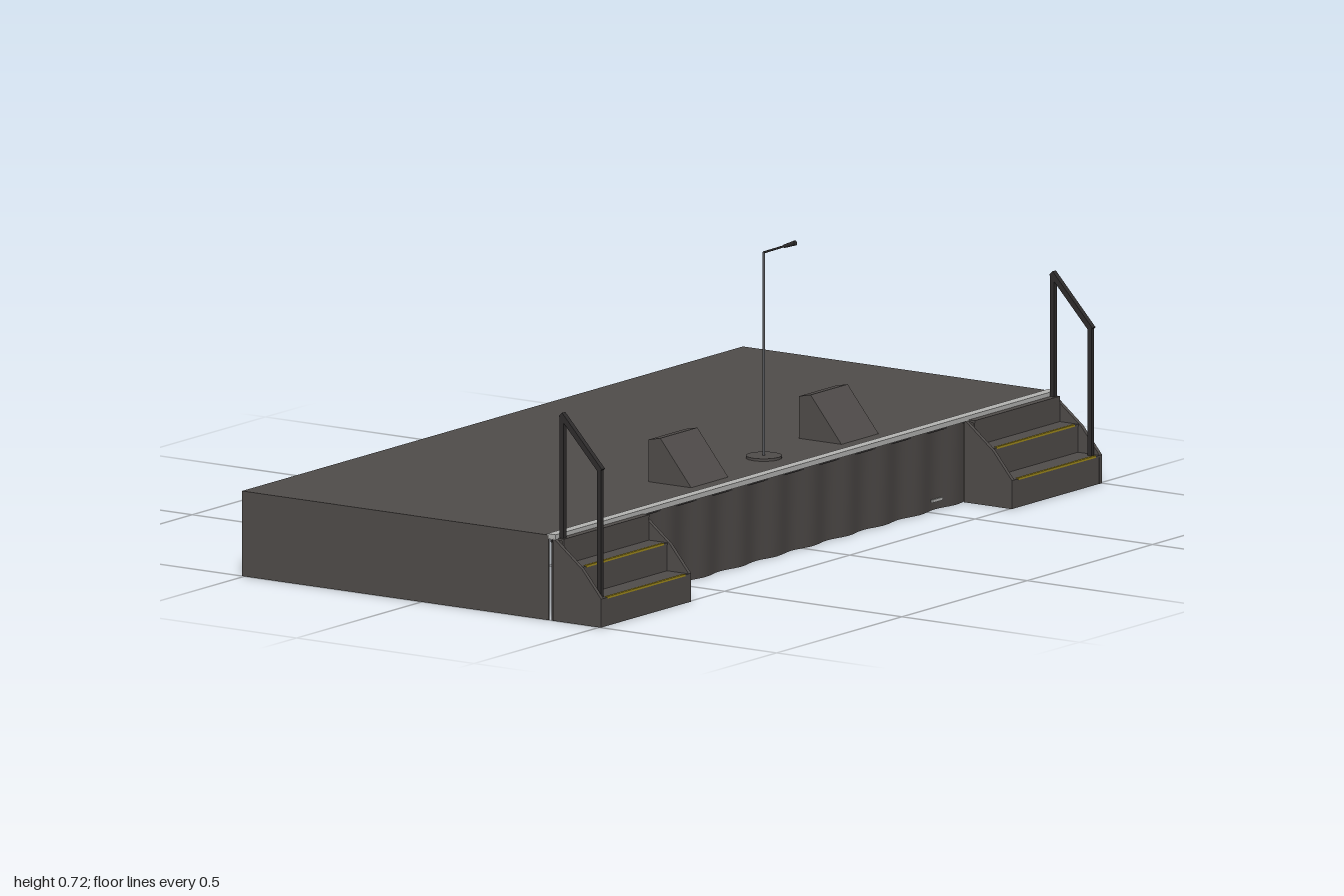
import * as THREE from 'three';

const mat = (name, color, side = THREE.FrontSide) => {
  const m = new THREE.MeshStandardMaterial({ color, side });
  m.name = name;
  return m;
};

export function createModel() {
  const charcoal = mat('charcoal', 0x504c4a);
  const cloth = mat('curtain cloth', 0x4c4846, THREE.DoubleSide);
  const blackMetal = mat('black metal', 0x2e2c2c);
  const steel = mat('steel', 0x55565a);
  const aluminium = mat('aluminium', 0xb4b4b2);
  const yellow = mat('safety yellow', 0xa08a1c);

  const model = new THREE.Group();
  model.name = 'stage';

  const add = (parent, name, geometry, material) => {
    const mesh = new THREE.Mesh(geometry, material);
    mesh.name = name;
    parent.add(mesh);
    return mesh;
  };
  // Box given by its lower and upper limits on each axis
  const box = (parent, name, [x0, x1], [y0, y1], [z0, z1], material) => {
    const mesh = add(parent, name, new THREE.BoxGeometry(x1 - x0, y1 - y0, z1 - z0), material);
    mesh.position.set((x0 + x1) / 2, (y0 + y1) / 2, (z0 + z1) / 2);
    return mesh;
  };
  // Side profile of [z, y] points, extruded along x from x0 to x1
  const profile = (parent, name, points, x0, x1, material) => {
    const shape = new THREE.Shape(points.map(([z, y]) => new THREE.Vector2(-z, y)));
    const g = new THREE.ExtrudeGeometry(shape, { depth: x1 - x0, bevelEnabled: false });
    g.rotateY(Math.PI / 2);
    g.translate(x0, 0, 0);
    return add(parent, name, g, material);
  };
  // Bar between two [y, z] points in the plane at x
  const bar = (parent, name, x, [y0, z0], [y1, z1], w, material) => {
    const g = new THREE.BoxGeometry(w, Math.hypot(y1 - y0, z1 - z0), w);
    const mesh = add(parent, name, g, material);
    mesh.position.set(x, (y0 + y1) / 2, (z0 + z1) / 2);
    mesh.rotation.x = Math.atan2(z1 - z0, y1 - y0);
    return mesh;
  };

  // Platform: deck and three thin walls, open below and in front
  const platform = new THREE.Group();
  platform.name = 'platform';
  model.add(platform);
  box(platform, 'deck', [-1, 1], [0.196, 0.2], [-0.507, 0.357], charcoal);
  box(platform, 'backWall', [-1, 1], [0, 0.197], [-0.507, -0.503], charcoal);
  for (const s of [-1, 1]) {
    box(platform, 'sideWall', s < 0 ? [-1, -0.996] : [0.996, 1], [0, 0.197], [-0.507, 0.357], charcoal);
  }
  box(platform, 'edgeTrim', [-1, 1], [0.191, 0.203], [0.353, 0.377], aluminium);
  box(platform, 'curtainRail', [-1, 1], [0.184, 0.192], [0.363, 0.367], blackMetal);

  // Pleated curtain across the front
  const pleats = new THREE.PlaneGeometry(2, 0.192, 112, 1);
  const p = pleats.attributes.position;
  for (let i = 0; i < p.count; i++) {
    p.setZ(i, 0.005 * Math.sin(p.getX(i) * Math.PI * 14));
  }
  pleats.translate(0, 0.096, 0.366);
  pleats.computeVertexNormals();
  add(model, 'curtain', pleats, cloth);
  box(model, 'curtainTag', [0.51, 0.55], [0.021, 0.028], [0.369, 0.374], aluminium);

  // Stairs and handrails at both ends
  for (const s of [-1, 1]) {
    const stairs = new THREE.Group();
    stairs.name = s < 0 ? 'rightStairs' : 'leftStairs';
    model.add(stairs);
    const span = s < 0 ? [-0.99, -0.65] : [0.65, 0.99];

    const side = [[0.37, 0], [0.505, 0], [0.505, 0.067], [0.452, 0.13], [0.372, 0.193], [0.37, 0.193]];
    for (const x of [0.64, 0.99]) {
      const x0 = s < 0 ? -x - 0.01 : x;
      profile(stairs, 'stairSide', side, x0, x0 + 0.01, charcoal);
    }

    // Treads from the bottom up: [height, back edge, front edge]
    const treads = [[0.067, 0.44, 0.505], [0.133, 0.39, 0.445], [0.193, 0.37, 0.394]];
    treads.forEach(([y, back, front], i) => {
      box(stairs, 'tread', span, [y - 0.005, y], [back, front], charcoal);
      box(stairs, 'riser', span, [i ? treads[i - 1][0] : 0, y - 0.004], [front - 0.006, front - 0.001], charcoal);
      if (i < 2) {
        const strip = s < 0 ? [-0.975, -0.665] : [0.665, 0.975];
        box(stairs, 'nosingStrip', strip, [y - 0.003, y + 0.002], [front - 0.006, front + 0.001], yellow);
      }
    });

    const rail = new THREE.Group();
    rail.name = 'handrail';
    stairs.add(rail);
    const x = 0.979 * s;
    bar(rail, 'lowerPost', x, [0.067, 0.488], [0.37, 0.488], 0.011, blackMetal);
    bar(rail, 'upperPost', x, [0.19, 0.383], [0.48, 0.383], 0.011, blackMetal);
    bar(rail, 'slopedRail', x, [0.364, 0.492], [0.484, 0.38], 0.013, blackMetal);
  }

  // Wedge floor monitors
  for (const s of [-1, 1]) {
    profile(model, 'floorMonitor', [[0.197, 0.2], [0.317, 0.2], [0.23, 0.306], [0.197, 0.299]],
      0.3 * s - 0.074, 0.3 * s + 0.074, charcoal);
  }

  // Microphone on its stand
  const stand = new THREE.Group();
  stand.name = 'microphoneStand';
  model.add(stand);
  const rod = (name, a, b, r0, r1, material) => {
    const from = new THREE.Vector3(...a);
    const dir = new THREE.Vector3(...b).sub(from);
    const mesh = add(stand, name, new THREE.CylinderGeometry(r1, r0, dir.length(), 16), material);
    mesh.position.copy(from).addScaledVector(dir, 0.5);
    mesh.quaternion.setFromUnitVectors(new THREE.Vector3(0, 1, 0), dir.normalize());
  };
  rod('base', [0, 0.2, 0.258], [0, 0.206, 0.258], 0.042, 0.042, charcoal);
  rod('pole', [0, 0.205, 0.258], [0, 0.684, 0.258], 0.003, 0.003, steel);
  rod('arm', [0, 0.683, 0.258], [0, 0.708, 0.325], 0.0025, 0.0025, blackMetal);
  rod('microphone', [0, 0.704, 0.315], [0, 0.716, 0.347], 0.004, 0.006, blackMetal);

  return model;
}
